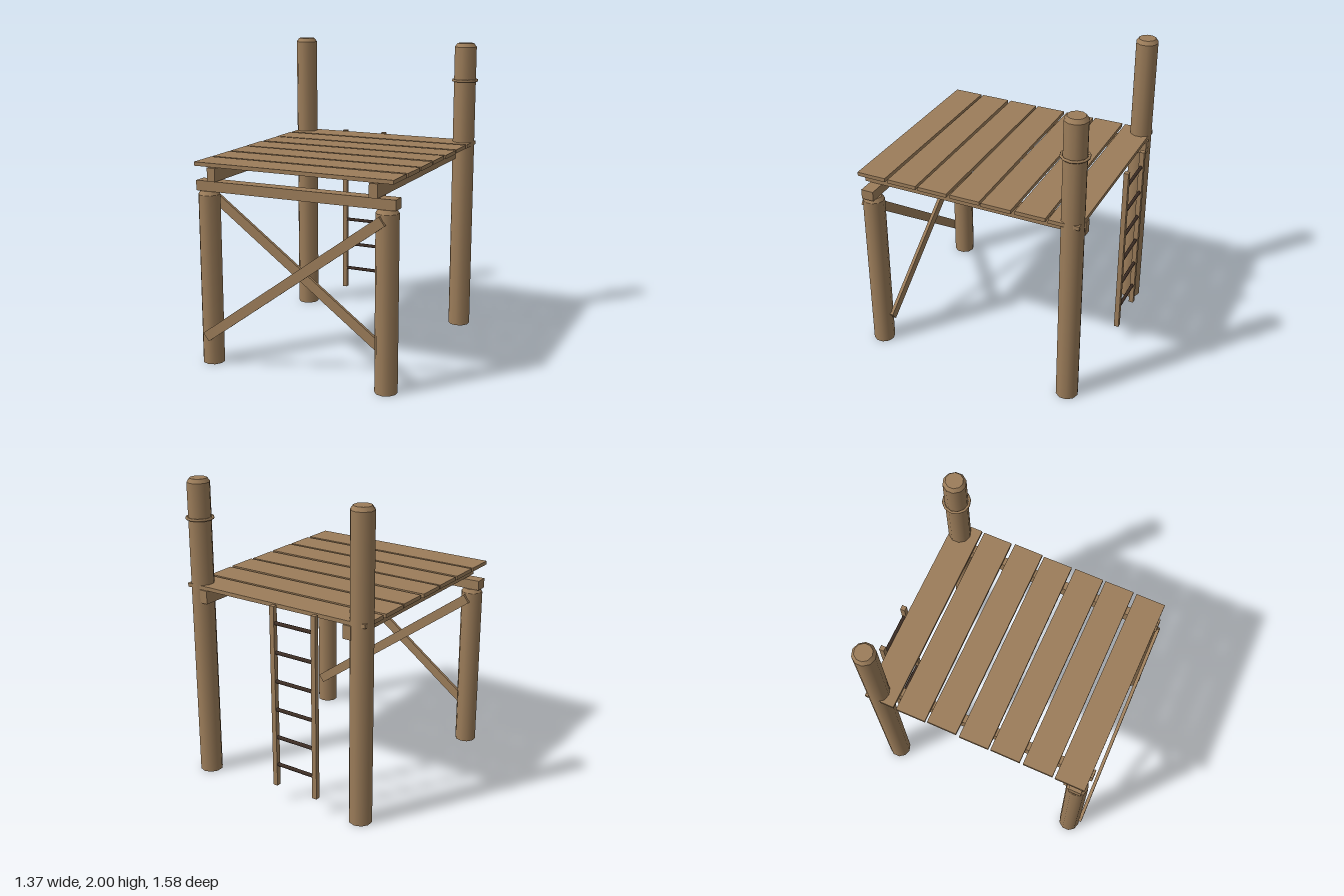
import * as THREE from 'three';

export function createModel() {
  const group = new THREE.Group();
  const wood = new THREE.MeshStandardMaterial({ color: 0x9c7d5a });
  wood.name = 'weatheredWood';
  const dark = new THREE.MeshStandardMaterial({ color: 0x3f2f26 });
  dark.name = 'darkWood';

  const add = (name, geometry, x, y, z, material = wood, parent = group) => {
    const mesh = new THREE.Mesh(geometry, material);
    mesh.name = name;
    mesh.position.set(x, y, z);
    parent.add(mesh);
    return mesh;
  };
  const box = (name, w, h, d, x, y, z, parent = group) =>
    add(name, new THREE.BoxGeometry(w, h, d), x, y, z, wood, parent);

  const LEFT = 0.597, RIGHT = -0.615, BACK = -0.67, FRONT = 0.7;

  // Round posts with a chamfered top
  const post = (name, x, z, height, radius) => {
    const part = new THREE.Group();
    part.name = name;
    const chamfer = 0.025, body = height - chamfer;
    add('postShaft', new THREE.CylinderGeometry(radius, radius, body, 10), x, body / 2, z, wood, part);
    add('postCap', new THREE.CylinderGeometry(radius * 0.76, radius, chamfer, 10), x, height - chamfer / 2, z, wood, part);
    group.add(part);
  };
  for (const [side, x] of [['Left', LEFT], ['Right', RIGHT]]) {
    post('back' + side + 'Post', x, BACK, 2, 0.074);
    post('front' + side + 'Post', x, FRONT, 1.14, 0.071);
  }

  // Ring around the tall left post
  const ring = add('postRing', new THREE.TorusGeometry(0.083, 0.009, 6, 12), LEFT, 1.748, BACK);
  ring.rotation.x = Math.PI / 2;

  // Front cross beam and the joists resting on it
  box('frontBeam', 1.348, 0.065, 0.084, -0.008, 1.1725, 0.702);
  box('leftJoist', 0.055, 0.087, 1.515, 0.537, 1.2535, 0.018);
  box('rightJoist', 0.055, 0.087, 1.515, -0.554, 1.2535, 0.018);

  // Deck planks, each slightly shifted and turned
  const shifts = [0, -0.003, 0.002, -0.004, -0.002, -0.003, -0.006];
  const turns = [0.002, 0.005, -0.002, 0.005, -0.003, 0.001, -0.003];
  shifts.forEach((shift, i) => {
    const plank = box('deckPlank', 1.342, 0.025, 0.197, -0.006 + shift, 1.312, -0.636 + i * 0.2168);
    plank.rotation.y = turns[i];
  });

  // Crossed braces, one on each side of the front posts
  const dx = 1.212, dy = 0.89;
  for (const [name, sign, z] of [['outerBrace', 1, 0.777], ['innerBrace', -1, 0.623]]) {
    const brace = box(name, Math.hypot(dx, dy), 0.064, 0.022, -0.01, 0.635, z);
    brace.rotation.z = sign * Math.atan2(dy, dx);
  }

  // Ladder at the back
  const ladder = new THREE.Group();
  ladder.name = 'ladder';
  group.add(ladder);
  for (const x of [-0.35, -0.046]) box('ladderRail', 0.032, 1.207, 0.032, x, 0.7235, -0.773, ladder);
  for (let i = 0; i < 6; i++) {
    const rung = add('ladderRung', new THREE.CylinderGeometry(0.012, 0.012, 0.29, 6), -0.198, 0.267 + i * 0.19, -0.773, dark, ladder);
    rung.rotation.z = Math.PI / 2;
  }
  return group;
}
